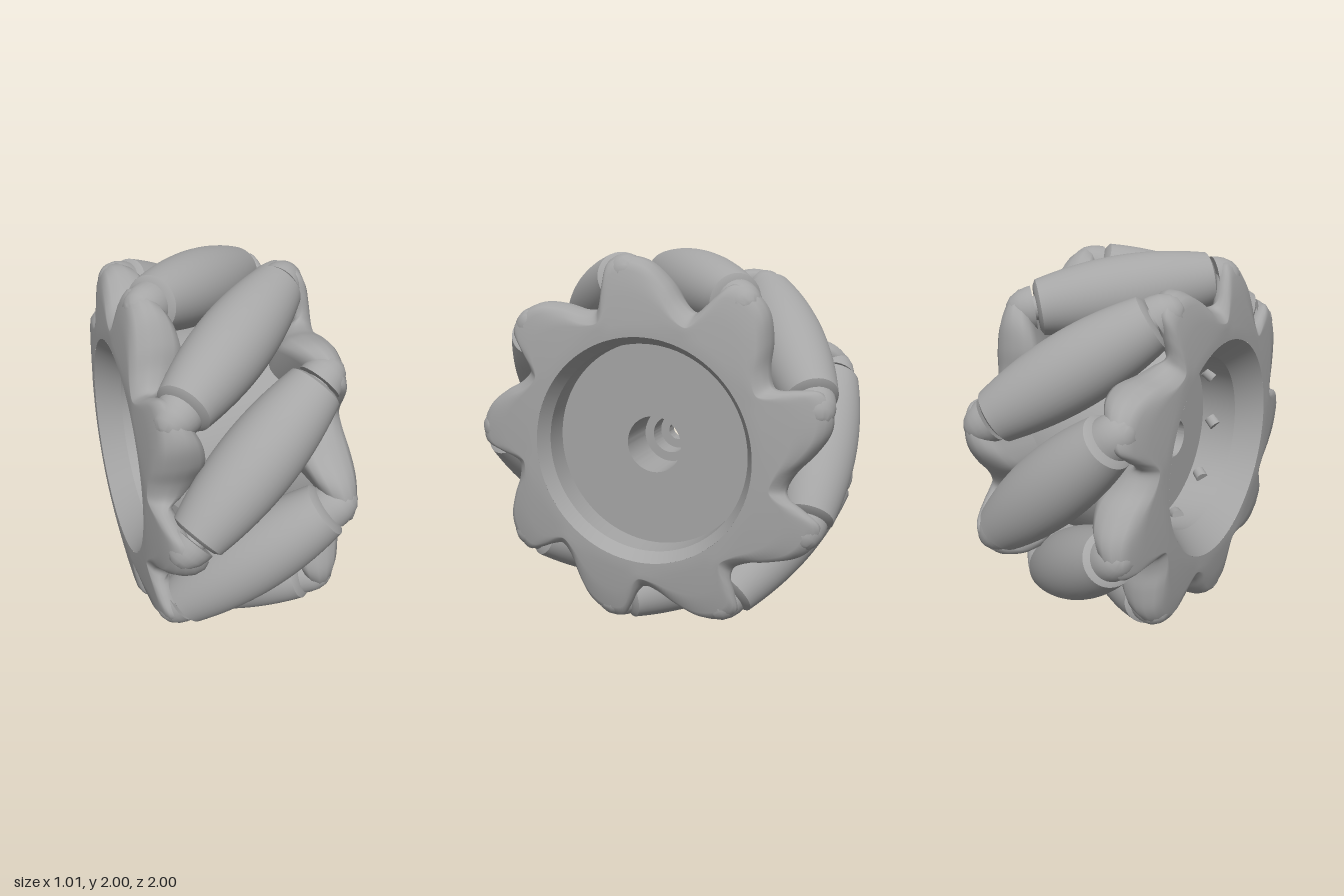
import * as THREE from 'three';
import { toCreasedNormals } from 'three/addons/utils/BufferGeometryUtils.js';

const COUNT = 9, STEP = (Math.PI * 2) / COUNT;
const RING = 0.81;                        // radius of the circle of roller centres
const TILT = THREE.MathUtils.degToRad(43);
const HALF = 0.45;                        // half length of a roller
const rad = THREE.MathUtils.degToRad;

// Position around the wheel axle (x), angle measured from +y towards +z
const around = (phi, r, x = 0) => new THREE.Vector3(x, r * Math.cos(phi), r * Math.sin(phi));

// Direction of the skewed roller axle at a given angle
const rollerAxis = (phi) => new THREE.Vector3(
  Math.cos(TILT), Math.sin(TILT) * Math.sin(phi), -Math.sin(TILT) * Math.cos(phi));

function lathe(points, segments, crease) {
  const g = new THREE.LatheGeometry(points.map(([r, y]) => new THREE.Vector2(r, y)), segments);
  return toCreasedNormals(g, crease);
}

// Barrel roller whose bulge follows the round rim of the wheel
function rollerGeometry() {
  const pts = [[0, -HALF], [0.11, -HALF]];
  for (let i = 0; i <= 20; i++) {
    const t = (i / 20 - 0.5) * 2 * (HALF - 0.015);
    pts.push([1 - Math.hypot(RING, t * Math.sin(TILT)), t]);
  }
  pts.push([0.11, HALF], [0, HALF]);
  return lathe(pts, 40, 0.6);
}

// Side plate with leaning lobes that carry the roller ends
function plateGeometry() {
  // one lobe: angle in degrees, rim radius, x of the inner face
  const lobe = [
    [-20, 0.745, 0.31], [-14, 0.775, 0.26], [-8, 0.85, 0.23], [-2, 0.925, 0.25],
    [3, 0.96, 0.29], [8, 0.965, 0.335], [12, 0.94, 0.37], [14.5, 0.86, 0.39], [17, 0.775, 0.39],
  ];
  const ctrl = [];
  for (let k = 0; k < COUNT; k++)
    for (const [a, r, x] of lobe) ctrl.push(around(rad(a) + k * STEP, r, x));
  const curve = new THREE.CatmullRomCurve3(ctrl, true, 'catmullrom', 0.5);
  const N = ctrl.length * 5;
  const face = (r) => 0.503 - Math.max(0, r - 0.65) * 0.16;

  const pos = [], idx = [];
  let M = 0;
  for (let i = 0; i < N; i++) {
    const p = curve.getPoint(i / N);
    const R = Math.hypot(p.y, p.z), phi = Math.atan2(p.z, p.y), xi = p.x;
    const xo = face(R), w = xo - xi;
    const section = [
      [0.59, xi], [R - 0.1, xi], [R - 0.05, xi + w * 0.06], [R - 0.018, xi + w * 0.2],
      [R, xi + w * 0.45], [R - 0.006, xi + w * 0.68], [R - 0.03, xi + w * 0.9],
      [R - 0.07, face(R - 0.07)], [(R + 0.6) / 2, face((R + 0.6) / 2)], [0.645, 0.503], [0.58, 0.503],
    ];
    M = section.length;
    for (const [r, x] of section) pos.push(...around(phi, r, x).toArray());
  }
  for (let i = 0; i < N; i++) {
    for (let j = 0; j < M - 1; j++) {
      const a = i * M + j, b = ((i + 1) % N) * M + j;
      idx.push(a, b, b + 1, a, b + 1, a + 1);
    }
  }
  const g = new THREE.BufferGeometry();
  g.setAttribute('position', new THREE.Float32BufferAttribute(pos, 3));
  g.setIndex(idx);
  g.computeVertexNormals();
  return g;
}

export function createModel() {
  const grey = new THREE.MeshStandardMaterial({ color: 0xa6a6a6 });
  grey.name = 'plain grey';
  const model = new THREE.Group();
  model.name = 'rollerWheel';
  const wheel = new THREE.Group();
  wheel.name = 'wheel';
  wheel.position.y = 1;
  model.add(wheel);

  const add = (parent, geometry, name) => {
    const m = new THREE.Mesh(geometry, grey);
    m.name = name;
    parent.add(m);
    return m;
  };

  // Drum with a shallow recess on +x, a deep one on -x, and a stepped bore
  const drum = lathe([
    [0.58, -0.503], [0.605, -0.44], [0.605, 0.44], [0.58, 0.503],
    [0.54, 0.43], [0.54, 0.3], [0.15, 0.3], [0.15, 0.06],
    [0.1, 0.06], [0.1, -0.05], [0.05, -0.05], [0.05, -0.12], [0.1, -0.12], [0.1, -0.23],
    [0.15, -0.23], [0.15, -0.16], [0.48, -0.16], [0.47, -0.37], [0.58, -0.503],
  ], 96, 0.4);
  drum.rotateZ(-Math.PI / 2);
  add(wheel, drum, 'hubDrum');

  // Side plates: the second is the first turned half round about a roller's radius
  const plate = plateGeometry();
  add(wheel, plate, 'leftSidePlate');
  add(wheel, plate, 'rightSidePlate').quaternion
    .setFromAxisAngle(around(rad(70), 1), Math.PI);

  // Rollers, their axles and end caps, and the small pegs inside the deep recess
  const roller = rollerGeometry();
  const axle = new THREE.CylinderGeometry(0.06, 0.06, 2 * HALF + 0.1, 20);
  const cap = lathe([
    [0, 0.465], [0.112, 0.465], [0.108, 0.49], [0.096, 0.53], [0.072, 0.57], [0.04, 0.595], [0, 0.605],
  ], 28, 0.8);
  const peg = new THREE.CylinderGeometry(0.035, 0.035, 0.06, 16);
  const up = new THREE.Vector3(0, 1, 0);
  for (let k = 0; k < COUNT; k++) {
    const phi = rad(-10) + k * STEP;
    const unit = new THREE.Group();
    unit.name = 'rollerUnit';
    unit.position.copy(around(phi, RING));
    unit.quaternion.setFromUnitVectors(up, rollerAxis(phi));
    add(unit, roller, 'roller');
    add(unit, axle, 'rollerAxle');
    add(unit, cap, 'leftEndCap');
    add(unit, cap, 'rightEndCap').rotation.x = Math.PI;
    wheel.add(unit);

    const p = add(wheel, peg, 'innerPeg');
    p.position.copy(around(phi - rad(13), 0.475, -0.23));
    p.quaternion.copy(unit.quaternion);
  }
  return model;
}
